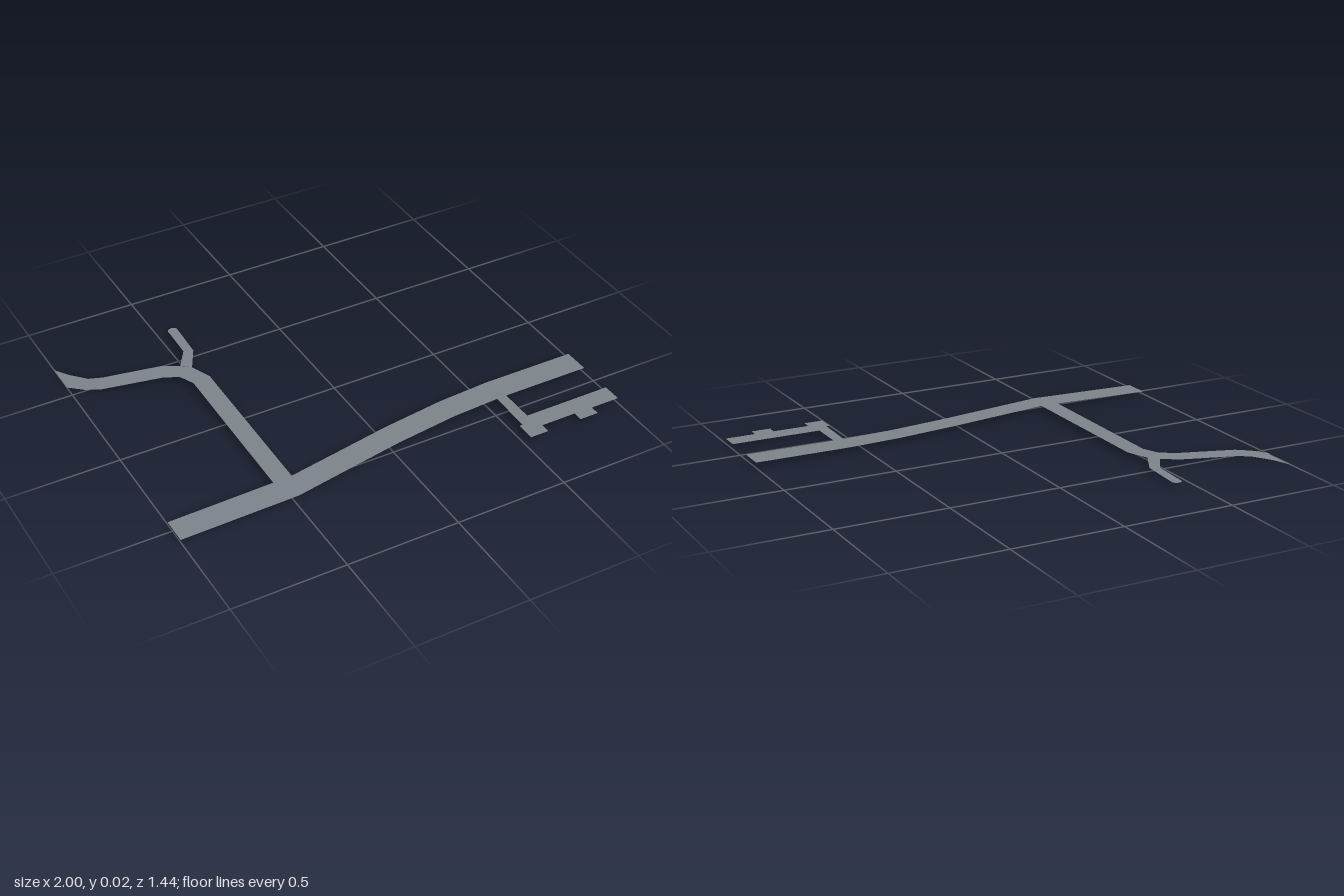
import * as THREE from 'three';

const asphalt = new THREE.MeshStandardMaterial({ color: 0x7c848b, side: THREE.DoubleSide });
asphalt.name = 'asphalt';

// Flat road strip from cross-sections: [left x, left z, right x, right z, height]
function road(name, sections) {
  const positions = [];
  const index = [];
  sections.forEach(([lx, lz, rx, rz, y], i) => {
    positions.push(lx, y, lz, rx, y, rz);
    if (i > 0) {
      const a = 2 * (i - 1);
      index.push(a, a + 1, a + 2, a + 1, a + 3, a + 2);
    }
  });
  const geometry = new THREE.BufferGeometry();
  geometry.setAttribute('position', new THREE.Float32BufferAttribute(positions, 3));
  geometry.setIndex(index);
  geometry.computeVertexNormals();
  const mesh = new THREE.Mesh(geometry, asphalt);
  mesh.name = name;
  return mesh;
}

// Level paved area from an outline of [x, z] points
function paving(name, outline, y) {
  const shape = new THREE.Shape(outline.map(([x, z]) => new THREE.Vector2(x, -z)));
  const mesh = new THREE.Mesh(new THREE.ShapeGeometry(shape).rotateX(-Math.PI / 2), asphalt);
  mesh.position.y = y;
  mesh.name = name;
  return mesh;
}

export function createModel() {
  const group = new THREE.Group();
  group.name = 'roadNetwork';

  group.add(road('mainRoad', [
    [-1, 0.456, -1, 0.575, 0.012],
    [-0.45, 0.453, -0.48, 0.575, 0.022],
    [0.04, 0.366, 0.04, 0.482, 0.024],
    [0.33, 0.327, 0.33, 0.444, 0.024],
    [0.57, 0.311, 0.57, 0.43, 0.024],
    [1, 0.311, 1, 0.43, 0.024],
  ]));

  // Side road running back, then bending and dropping to the right
  group.add(road('sideRoad', [
    [-0.533, 0.456, -0.448, 0.453, 0.022],
    [-0.525, -0.295, -0.442, -0.308, 0.024],
    [-0.555, -0.362, -0.48, -0.403, 0.023],
    [-0.58, -0.378, -0.52, -0.438, 0.022],
    [-0.62, -0.4, -0.59, -0.48, 0.02],
    [-0.885, -0.463, -0.845, -0.538, 0.012],
    [-0.945, -0.498, -0.9, -0.563, 0.009],
    [-1, -0.553, -0.96, -0.635, 0.005],
    [-1, -0.553, -1, -0.705, 0],
  ]));

  // Narrow lane with a rounded turning end
  group.add(road('lane', [
    [-0.52, -0.438, -0.48, -0.403, 0.023],
    [-0.461, -0.53, -0.42, -0.515, 0.021],
    [-0.455, -0.695, -0.411, -0.695, 0.018],
  ]));
  const turningEnd = new THREE.Mesh(new THREE.CircleGeometry(0.024, 10, 0, Math.PI), asphalt);
  turningEnd.geometry.rotateX(-Math.PI / 2);
  turningEnd.position.set(-0.433, 0.018, -0.695);
  turningEnd.name = 'laneTurningEnd';
  group.add(turningEnd);

  // Access road with parking bays
  group.add(paving('accessRoad', [
    [0.55, 0.43], [0.597, 0.43], [0.597, 0.589], [1, 0.589], [1, 0.676],
    [0.865, 0.676], [0.865, 0.718], [0.778, 0.718], [0.778, 0.674],
    [0.615, 0.674], [0.615, 0.718], [0.53, 0.718], [0.53, 0.631], [0.545, 0.631],
  ], 0.024));

  return group;
}
